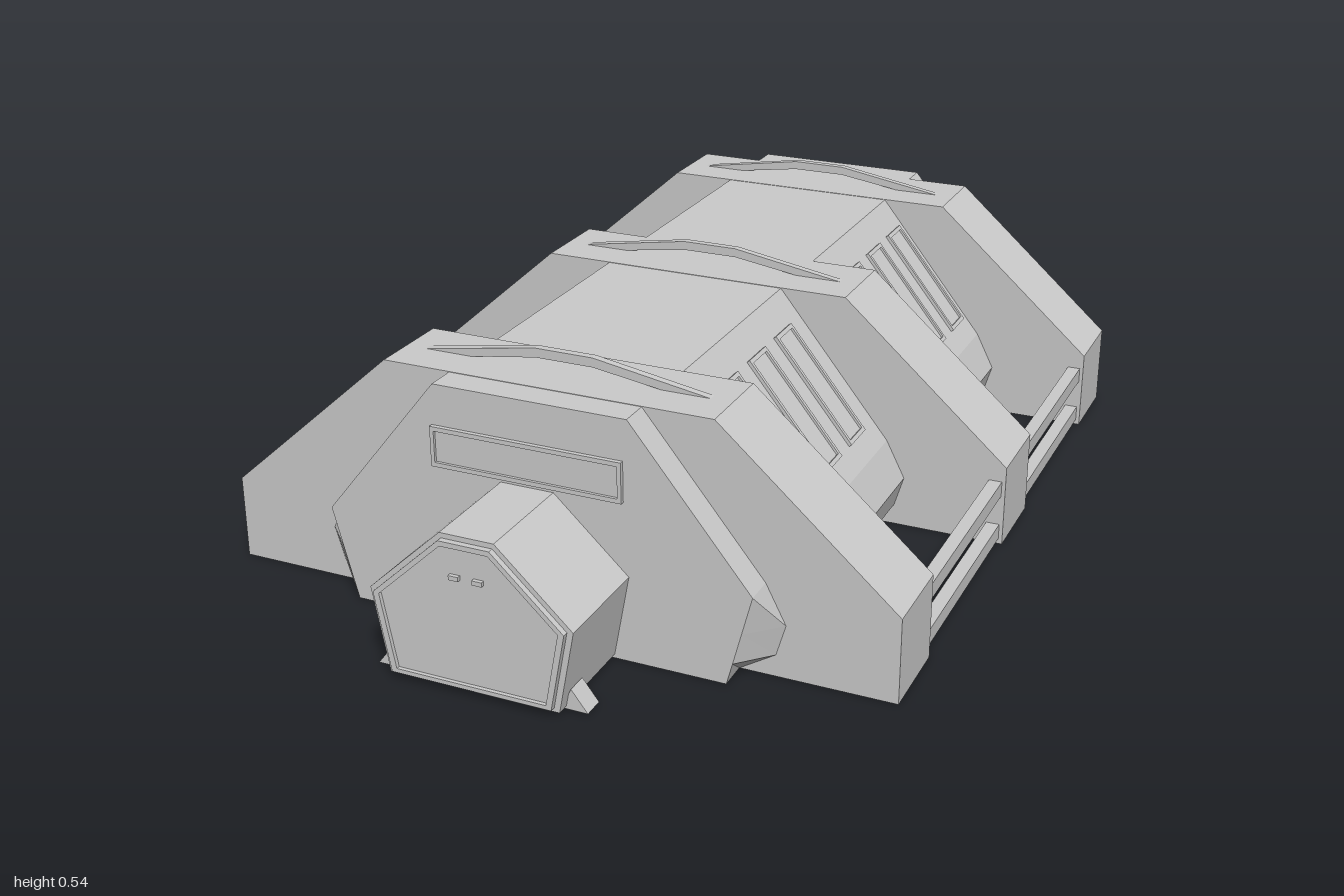
import * as THREE from 'three';

const mat = new THREE.MeshStandardMaterial({ color: 0xcccccc, flatShading: true, side: THREE.DoubleSide });

function add(parent, name, geometry) {
  const mesh = new THREE.Mesh(geometry, mat);
  mesh.name = name;
  parent.add(mesh);
  return mesh;
}

const toVectors = (pts) => pts.map(([x, y]) => new THREE.Vector2(x, y));
// right half of an outline (bottom to top) -> whole symmetric outline
const mirror = (half) => [...half, ...half.map(([x, y]) => [-x, y]).reverse()];
const scaled = (pts, s, cy) => pts.map(([x, y]) => [x * s, cy + (y - cy) * s]);

// flat wall standing at depth z
const wall = (pts, z) => new THREE.ShapeGeometry(new THREE.Shape(toVectors(pts))).translate(0, 0, z);

// outline (with optional hole) extruded from z0 to z1
function prism(pts, z0, z1, hole) {
  const shape = new THREE.Shape(toVectors(pts));
  if (hole) shape.holes.push(new THREE.Path(toVectors(hole)));
  return new THREE.ExtrudeGeometry(shape, { depth: z1 - z0, bevelEnabled: false }).translate(0, 0, z0);
}

const rect = (w, h, cy = 0) => [[-w / 2, cy - h / 2], [w / 2, cy - h / 2], [w / 2, cy + h / 2], [-w / 2, cy + h / 2]];

// skin over sections [z, outline] from back to front; the floor edge is skipped unless closed
function skin(sections, closed = false) {
  const rings = sections.map(([z, pts]) => pts.map(([x, y]) => [x, y, z]));
  const n = rings[0].length;
  const pos = [];
  for (let r = 0; r < rings.length - 1; r++) {
    const A = rings[r], B = rings[r + 1];
    for (let i = 0; i < (closed ? n : n - 1); i++) {
      const j = (i + 1) % n;
      pos.push(...A[i], ...A[j], ...B[j], ...A[i], ...B[j], ...B[i]);
    }
  }
  const g = new THREE.BufferGeometry();
  g.setAttribute('position', new THREE.Float32BufferAttribute(pos, 3));
  g.computeVertexNormals();
  return g;
}

export function createModel() {
  const model = new THREE.Group();
  model.name = 'habitatShelter';

  // main hull: faceted tunnel, open below, with pinched ends and a tapered rear
  const full = mirror([[0.395, 0], [0.467, 0.045], [0.486, 0.11], [0.445, 0.19], [0.2, 0.494]]);
  const pinched = mirror([[0.395, 0], [0.407, 0.045], [0.424, 0.11], [0.445, 0.19], [0.2, 0.494]]);
  const rear = mirror([[0.33, 0.06], [0.338, 0.09], [0.35, 0.135], [0.36, 0.175], [0.16, 0.42]]);
  add(model, 'hull', skin([[-0.885, pinched], [-0.82, full], [0.705, full], [0.767, pinched]]));
  add(model, 'rearTaper', skin([[-0.962, rear], [-0.885, pinched]], true));
  add(model, 'rearWall', wall(rear, -0.962));
  add(model, 'frontWall', wall(pinched, 0.767));

  // three hollow buttress ribs, each with a floor plate and an arched roof rail
  const ribOutline = mirror([[0.705, 0], [0.705, 0.175], [0.343, 0.495]]);
  const ribSide = [...ribOutline, ...[...full].reverse()];
  const arch = [
    [-0.3, 0], [-0.2, 0], [-0.06, 0.021], [0.06, 0.021], [0.2, 0],
    [0.3, 0], [0.06, 0.04], [-0.06, 0.04],
  ];
  for (const [z0, z1] of [[-0.82, -0.638], [-0.155, 0.03], [0.525, 0.705]]) {
    const zc = (z0 + z1) / 2;
    add(model, 'rib', skin([[z0, ribOutline], [z1, ribOutline]]));
    for (const z of [z0, z1]) add(model, 'ribSide', wall(ribSide, z));
    add(model, 'ribFloor', new THREE.BoxGeometry(0.79, 0.004, z1 - z0)).position.set(0, 0.002, zc);
    add(model, 'roofRail', prism(arch, zc - 0.008, zc + 0.008)).position.y = 0.495;
  }

  // bent bar and V-shaped seams on the rear wall
  const rearBar = add(model, 'rearBar', prism(arch, 0, 0.015));
  rearBar.rotation.x = -Math.PI / 2;
  rearBar.position.set(0, 0.092, -0.96);
  for (const side of [-1, 1]) {
    const seam = add(model, 'rearSeam', new THREE.BoxGeometry(0.006, 0.26, 0.008));
    seam.position.set(side * 0.08, 0.26, -0.962);
    seam.rotation.z = -side * 0.5;
  }

  // side rails joining the ribs
  for (const side of [-1, 1]) {
    for (const [z0, z1] of [[-0.638, -0.155], [0.03, 0.525]]) {
      for (const y of [0.126, 0.028]) {
        add(model, 'sideRail', new THREE.BoxGeometry(0.028, 0.033, z1 - z0))
          .position.set(side * 0.683, y, (z0 + z1) / 2);
      }
    }
  }

  // framed windows lying on the sloped walls
  const slope = new THREE.Vector2(0.245, 0.304).normalize();
  for (const side of [-1, 1]) {
    const up = new THREE.Vector3(-side * slope.x, slope.y, 0);
    const out = new THREE.Vector3(side * slope.y, slope.x, 0);
    const basis = new THREE.Matrix4().makeBasis(new THREE.Vector3().crossVectors(up, out), up, out);
    for (const z of [-0.569, -0.428, -0.286, 0.133, 0.273, 0.415]) {
      const window = new THREE.Group();
      window.name = 'sideWindow';
      window.quaternion.setFromRotationMatrix(basis);
      window.position.set(side * 0.3275, 0.336, z);
      add(window, 'windowFrame', prism(rect(0.084, 0.27), -0.004, 0.007, rect(0.068, 0.252)));
      add(window, 'windowPane', prism(rect(0.068, 0.252), -0.004, 0.002));
      model.add(window);
    }
  }

  // entrance: everything here sits slightly off centre
  const entrance = new THREE.Group();
  entrance.name = 'entrance';
  entrance.position.x = -0.007;
  model.add(entrance);

  // wide window above the door
  add(entrance, 'frontWindowFrame', prism(rect(0.396, 0.082, 0.37), 0.76, 0.776, rect(0.38, 0.064, 0.37)));
  add(entrance, 'frontWindowPane', prism(rect(0.38, 0.064, 0.37), 0.76, 0.77));

  // porch with framed door, handles and feet
  const porch = mirror([[0.175, 0.008], [0.207, 0.178], [0.055, 0.32]]);
  const lip = scaled(porch, 0.94, 0.15);
  const door = scaled(porch, 0.88, 0.15);
  add(entrance, 'porch', prism(porch, 0.76, 0.988));
  add(entrance, 'doorFrame', prism(lip, 0.985, 1.0, door));
  add(entrance, 'door', prism(door, 0.985, 0.992));
  for (const side of [-1, 1]) {
    add(entrance, 'doorHandle', new THREE.BoxGeometry(0.02, 0.009, 0.01)).position.set(side * 0.024, 0.24, 0.995);
    const foot = [[0.165, 0.002], [0.218, 0.002], [0.185, 0.045]].map(([x, y]) => [side * x, y]);
    add(entrance, 'porchFoot', prism(foot, 0.918, 0.962));
  }

  return model;
}
